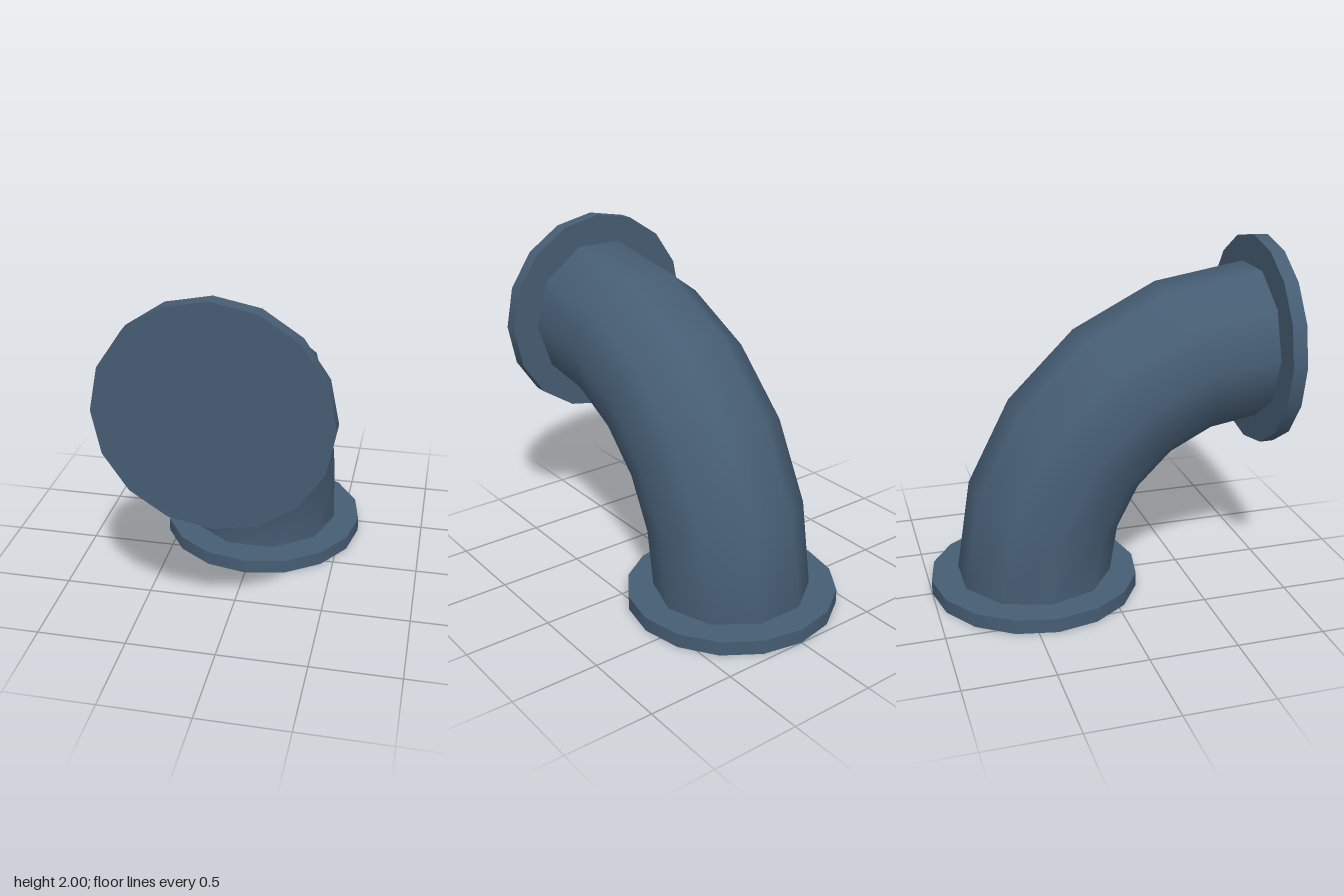
import * as THREE from 'three';

const FLANGE_RADIUS = 0.607;
const FLANGE_THICKNESS = 0.083;
const PIPE_RADIUS = 0.452;
const BEND_RADIUS = 1.31;
const AXIS = 1 - FLANGE_RADIUS; // distance of each flange axis from the centre planes

// Quarter circle in the YZ plane, from the base flange up to the front flange
class QuarterBend extends THREE.Curve {
  getPoint(t, target = new THREE.Vector3()) {
    const a = t * Math.PI / 2;
    return target.set(
      0,
      FLANGE_THICKNESS + BEND_RADIUS * Math.sin(a),
      1 - FLANGE_THICKNESS - BEND_RADIUS * Math.cos(a)
    );
  }
}

export function createModel() {
  const group = new THREE.Group();
  group.name = 'pipeElbow';

  const steel = new THREE.MeshStandardMaterial({ color: 0x465d73 });
  steel.name = 'blueGreySteel';

  // Ten-sided bent pipe
  const pipe = new THREE.Mesh(
    new THREE.TubeGeometry(new QuarterBend(), 5, PIPE_RADIUS, 10, false), steel);
  pipe.name = 'bentPipe';
  group.add(pipe);

  // Sixteen-sided flange discs closing both ends
  const disc = new THREE.CylinderGeometry(FLANGE_RADIUS, FLANGE_RADIUS, FLANGE_THICKNESS, 16);

  const baseFlange = new THREE.Mesh(disc, steel);
  baseFlange.name = 'baseFlange';
  baseFlange.position.set(0, FLANGE_THICKNESS / 2, -AXIS);

  const frontFlange = new THREE.Mesh(disc, steel);
  frontFlange.name = 'frontFlange';
  frontFlange.rotation.x = Math.PI / 2;
  frontFlange.position.set(0, 1 + AXIS, 1 - FLANGE_THICKNESS / 2);

  group.add(baseFlange, frontFlange);
  return group;
}
